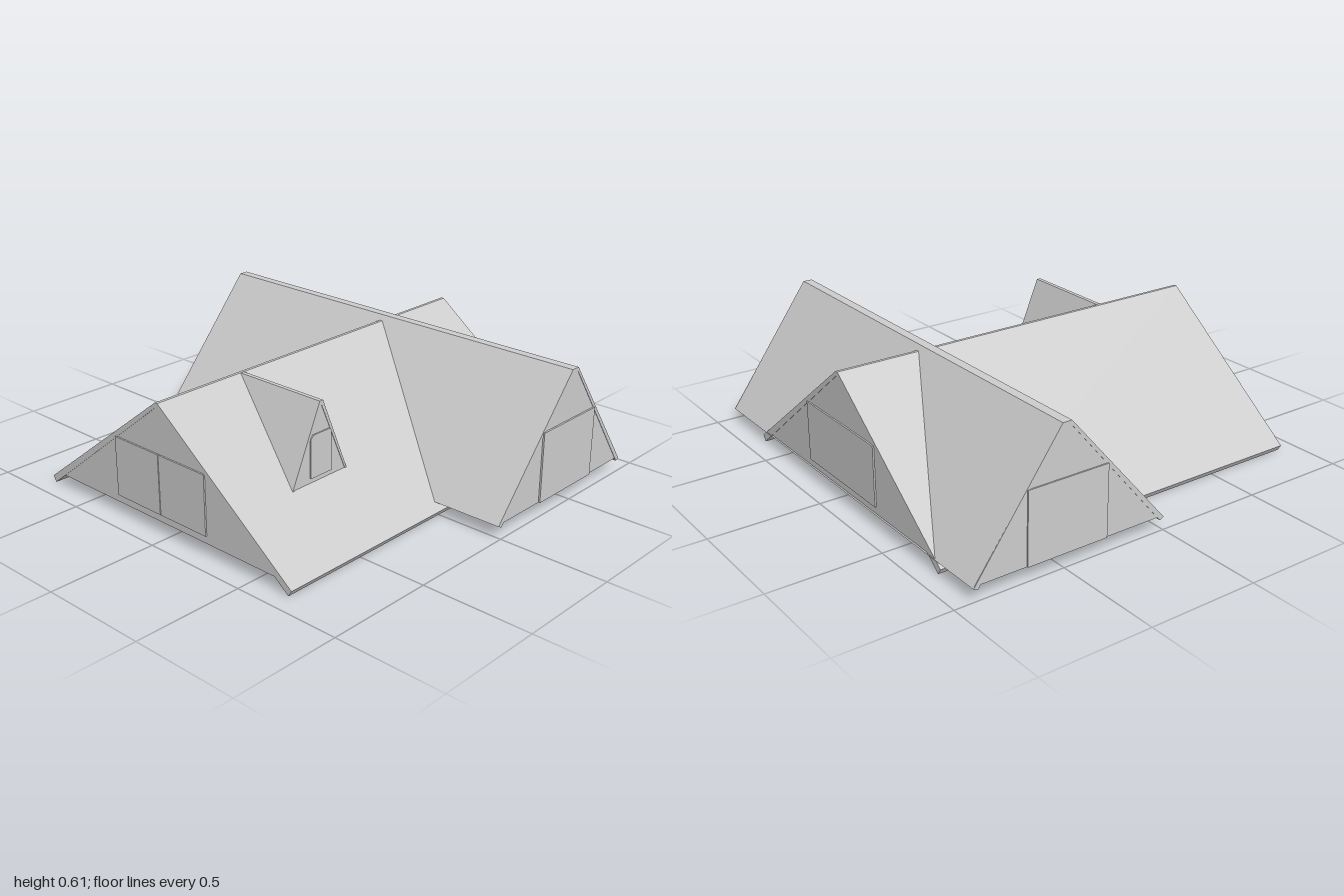
import * as THREE from 'three';

const mat = new THREE.MeshStandardMaterial({ color: 0xcccccc, flatShading: true, side: THREE.DoubleSide });

function named(geometry, name) {
  const mesh = new THREE.Mesh(geometry, mat);
  mesh.name = name;
  return mesh;
}

const polygon = (points) => new THREE.Shape(points.map(([x, y]) => new THREE.Vector2(x, y)));

// Extrudes a gable profile along z from z0 to z1
function extrude(points, z0, z1) {
  const g = new THREE.ExtrudeGeometry(polygon(points), { depth: z1 - z0, bevelEnabled: false });
  return g.translate(0, 0, z0);
}

// Gable roof along z: folded slab, flat ridge, triangular end walls
function gableRoof(name, { left, right, peak, z0, z1, inL, inR, drop, wallBase }) {
  const group = new THREE.Group();
  group.name = name;
  const [lx, ly] = left, [rx, ry] = right, [p0, p1, py] = peak;
  const slab = [[lx, ly], inL, [p0, py - drop], [p1, py - drop], inR, [rx, ry], [p1, py], [p0, py]];
  group.add(named(extrude(slab, z0, z1), name + 'Slab'));

  // End walls follow the slopes down to the wall base
  const t = (wallBase - ly) / (py - ly);
  const wall = [
    [lx + (p0 - lx) * t, wallBase], [rx + (p1 - rx) * t, wallBase],
    [p1, py - 0.004], [p0, py - 0.004],
  ];
  [z0 + 0.002, z1 - 0.002].forEach((z, i) => {
    const g = new THREE.ShapeGeometry(polygon(wall));
    if (i === 0) g.scale(-1, 1, 1).rotateY(Math.PI);
    group.add(named(g.translate(0, 0, z), 'gableWall'));
  });
  return group;
}

// Thin panel on a gable, set by its edges
function panel(name, x0, x1, y0, y1, z0, z1) {
  const g = new THREE.BoxGeometry(x1 - x0, y1 - y0, z1 - z0);
  return named(g.translate((x0 + x1) / 2, (y0 + y1) / 2, (z0 + z1) / 2), name);
}

export function createModel() {
  const model = new THREE.Group();
  model.name = 'crossGableRoof';

  // Main roof, built along z and turned so its ridge runs along x
  const main = gableRoof('mainRoof', {
    left: [-0.775, 0.027], right: [0.697, 0.027], peak: [-0.047, -0.033, 0.583],
    z0: -0.91, z1: 0.91, inL: [-0.758, 0], inR: [0.68, 0], drop: 0.022, wallBase: 0.055,
  });
  main.rotation.y = -Math.PI / 2;
  model.add(main);

  // Cross roof, ridge along z
  model.add(gableRoof('crossRoof', {
    left: [-0.005, 0.055], right: [0.912, 0.052], peak: [0.47, 0.512, 0.605],
    z0: -0.996, z1: 0.99, inL: [0.015, 0.045], inR: [0.892, 0.045], drop: 0.02, wallBase: 0.06,
  }));

  // Dormer: two slopes with an open underside, reaching back to the main ridge
  const dormer = new THREE.Group();
  dormer.name = 'dormer';
  const slopes = [[-0.615, 0.235], [-0.605, 0.235], [-0.445, 0.565], [-0.302, 0.235],
    [-0.292, 0.235], [-0.436, 0.583], [-0.455, 0.583]];
  dormer.add(named(extrude(slopes, -0.03, 0.418), 'dormerRoof'));
  const face = new THREE.ShapeGeometry(polygon([[-0.613, 0.237], [-0.294, 0.237], [-0.445, 0.578]]));
  dormer.add(named(face.translate(0, 0, 0.416), 'dormerWall'));
  const pane = [[-0.51, 0.262], [-0.39, 0.262], [-0.39, 0.44], [-0.4, 0.45], [-0.495, 0.45], [-0.51, 0.435]];
  dormer.add(named(extrude(pane, 0.41, 0.422), 'dormerWindow'));
  model.add(dormer);

  // Panels on the front and back gables
  model.add(panel('frontGablePanel', 0.28, 0.66, 0.06, 0.38, 0.98, 0.996));
  model.add(panel('backGablePanel', 0.29, 0.67, 0.06, 0.38, -1, -0.985));

  // Side windows: one wide pane on the left end, two panes on the right end
  model.add(panel('leftGableWindow', 0.9, 0.915, 0.09, 0.36, -0.31, 0.23));
  for (const [z0, z1] of [[-0.31, -0.042], [-0.038, 0.23]]) {
    model.add(panel('rightGableWindow', -0.915, -0.9, 0.09, 0.36, z0, z1));
  }
  return model;
}
